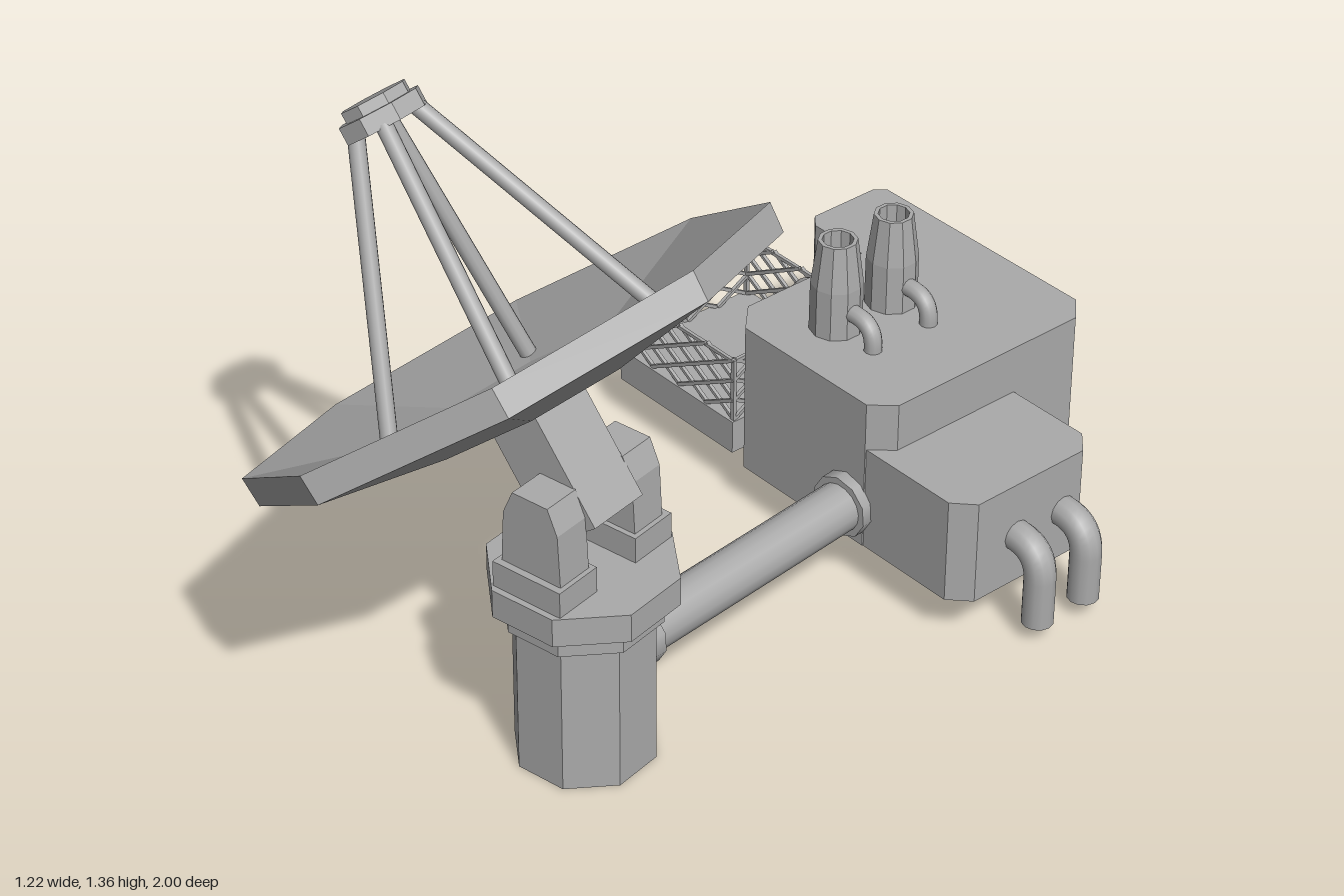
import * as THREE from 'three';
import { mergeGeometries } from 'three/addons/utils/BufferGeometryUtils.js';

const grey = new THREE.MeshStandardMaterial({ color: 0xaaaaaa });
grey.name = 'grey metal';

const V = (x, y, z) => new THREE.Vector3(x, y, z);

function add(parent, name, geometry, x = 0, y = 0, z = 0) {
  const mesh = new THREE.Mesh(geometry, grey);
  mesh.name = name;
  mesh.position.set(x, y, z);
  parent.add(mesh);
  return mesh;
}

// Faceted version of a geometry
function flat(geometry) {
  const g = geometry.index ? geometry.toNonIndexed() : geometry;
  g.computeVertexNormals();
  return g;
}

// Octagonal drum between two heights, with flats on the axes
function drum(r, y0, y1) {
  return flat(new THREE.CylinderGeometry(r, r, y1 - y0, 8).rotateY(Math.PI / 8).translate(0, (y0 + y1) / 2, 0));
}

function turned(points, sides) {
  return flat(new THREE.LatheGeometry(points.map(([x, y]) => new THREE.Vector2(x, y)), sides));
}

// Straight round rod from a to b
function rod(a, b, r, sides = 12) {
  const d = b.clone().sub(a);
  const g = new THREE.CylinderGeometry(r, r, d.length(), sides);
  g.applyQuaternion(new THREE.Quaternion().setFromUnitVectors(V(0, 1, 0), d.normalize()));
  const m = a.clone().add(b).multiplyScalar(0.5);
  return g.translate(m.x, m.y, m.z);
}

// Pipe from a to b with a rounded bend at the corner and a closed outlet
function bentPipe(a, corner, b, bend, r) {
  const toA = a.clone().sub(corner).normalize(), toB = b.clone().sub(corner).normalize();
  const s = corner.clone().addScaledVector(toA, bend), e = corner.clone().addScaledVector(toB, bend);
  const path = new THREE.CurvePath();
  path.add(new THREE.LineCurve3(a, s));
  path.add(new THREE.QuadraticBezierCurve3(s, corner, e));
  path.add(new THREE.LineCurve3(e, b));
  const cap = new THREE.CircleGeometry(r, 12);
  cap.applyQuaternion(new THREE.Quaternion().setFromUnitVectors(V(0, 0, 1), toB)).translate(b.x, b.y, b.z);
  return mergeGeometries([new THREE.TubeGeometry(path, 24, r, 12), cap]);
}

// Upright prism from a plan outline of [x, z] points
function prism(plan, y0, y1) {
  const shape = new THREE.Shape(plan.map(([x, z]) => new THREE.Vector2(x, -z)));
  const g = new THREE.ExtrudeGeometry(shape, { depth: y1 - y0, bevelEnabled: false });
  return g.rotateX(-Math.PI / 2).translate(0, y0, 0);
}

function buildTower() {
  const tower = new THREE.Group();
  tower.name = 'dishTower';
  tower.position.set(0.2375, 0, 0.4);
  tower.rotation.y = 0.19;

  add(tower, 'pedestal', drum(0.15, 0, 0.36));
  add(tower, 'collar', drum(0.167, 0.345, 0.395));
  add(tower, 'turntable', drum(0.2, 0.394, 0.459));

  // Yoke arms with chamfered tops
  const arm = new THREE.Shape([
    [-0.078, 0.45], [0.078, 0.45], [0.068, 0.635], [0.044, 0.69], [-0.044, 0.69], [-0.068, 0.635],
  ].map(([x, y]) => new THREE.Vector2(x, y)));
  for (const side of [-1, 1]) {
    const g = new THREE.ExtrudeGeometry(arm, { depth: 0.085, bevelEnabled: false }).translate(0, 0, -0.0425);
    add(tower, 'yokeArm', g, 0, 0, side * 0.113);
    add(tower, 'yokeFoot', new THREE.BoxGeometry(0.17, 0.065, 0.112), 0, 0.485, side * 0.115);
  }
  add(tower, 'hinge', new THREE.CylinderGeometry(0.04, 0.04, 0.22, 12).rotateX(Math.PI / 2), 0, 0.615, 0);

  // Tilted dish; its local y is the pointing axis
  const dish = new THREE.Group();
  dish.name = 'dish';
  dish.position.set(-0.197, 0.89, -0.008);
  dish.rotation.z = 0.643;
  tower.add(dish);
  add(dish, 'reflector', turned([
    [0, -0.15], [0.26, -0.128], [0.574, -0.064], [0.578, 0], [0.25, -0.088], [0, -0.11],
  ], 8));
  add(dish, 'dishMount', new THREE.BoxGeometry(0.14, 0.27, 0.145), 0, -0.255, 0.008);

  // Feed and its four struts
  for (const sx of [-1, 1]) for (const sz of [-1, 1]) {
    add(dish, 'feedStrut', rod(V(sx * 0.21, -0.085, sz * 0.21), V(sx * 0.045, 0.485, sz * 0.045), 0.018));
  }
  add(dish, 'feedBase', drum(0.09, 0.475, 0.512));
  add(dish, 'feedCap', drum(0.072, 0.512, 0.535));
  return tower;
}

function buildStation() {
  const station = new THREE.Group();
  station.name = 'station';

  // L-shaped hall and lower annex with chamfered corners
  add(station, 'hall', prism([
    [-0.415, -0.975], [-0.395, -1], [0.2, -1], [0.25, -0.95], [0.25, -0.435], [0.205, -0.385],
    [-0.175, -0.385], [-0.235, -0.445], [-0.235, -0.775], [-0.385, -0.775], [-0.415, -0.8],
  ], 0.105, 0.465));
  add(station, 'annex', prism([
    [0.1, -0.772], [0.455, -0.772], [0.5, -0.73], [0.5, -0.43], [0.455, -0.387], [0.1, -0.387],
  ], 0.105, 0.352));

  // Hollow chimneys, each with a small side pipe
  for (const z of [-0.695, -0.535]) {
    add(station, 'chimney', turned([
      [0.058, 0.45], [0.057, 0.58], [0.043, 0.685], [0.034, 0.685], [0.034, 0.6], [0, 0.6],
    ], 10), -0.055, 0, z);
    add(station, 'chimneyPipe', bentPipe(V(-0.03, 0.525, z), V(0.062, 0.525, z), V(0.062, 0.45, z), 0.05, 0.02));
  }
  // Outlet pipes on the annex
  for (const z of [-0.681, -0.547]) {
    add(station, 'outletPipe', bentPipe(V(0.48, 0.221, z), V(0.572, 0.221, z), V(0.572, 0.04, z), 0.07, 0.035));
  }
  // Ducts leading into the cage
  for (const z of [-0.7, -0.635]) {
    add(station, 'cageDuct', bentPipe(V(-0.2, 0.43, z), V(-0.25, 0.43, z), V(-0.31, 0.355, z), 0.03, 0.027));
  }
  return station;
}

// Lattice panel of crossing bars, centred on x, standing on y = 0
function lattice(width, height, columns, rows) {
  const bars = [], cw = width / columns, ch = height / rows, t = 0.008;
  const length = Math.hypot(cw, ch), angle = Math.atan2(ch, cw);
  for (let i = 0; i < columns; i++) for (let j = 0; j < rows; j++) for (const s of [-1, 1]) {
    bars.push(new THREE.BoxGeometry(length, t, t).rotateZ(s * angle)
      .translate((i + 0.5) * cw - width / 2, (j + 0.5) * ch, s * 0.002));
  }
  bars.push(new THREE.BoxGeometry(width, t, t).translate(0, height - t / 2, 0));
  for (const s of [-1, 1]) bars.push(new THREE.BoxGeometry(t, height, t).translate(s * width / 2, height / 2, 0));
  return mergeGeometries(bars);
}

function buildCage() {
  const cage = new THREE.Group();
  cage.name = 'cage';
  cage.position.set(-0.42, 0.105, -0.588);
  add(cage, 'tray', new THREE.BoxGeometry(0.38, 0.08, 0.375), 0, 0.04, 0);
  for (const s of [-1, 1]) {
    add(cage, 'cageWall', lattice(0.365, 0.155, 4, 3), 0, 0.08, s * 0.178);
    add(cage, 'cageWall', lattice(0.356, 0.155, 4, 3), s * 0.18, 0.08, 0).rotation.y = Math.PI / 2;
  }
  return cage;
}

export function createModel() {
  const model = new THREE.Group();
  model.name = 'dishStation';
  model.add(buildTower(), buildStation(), buildCage());

  // Connecting pipe with a flange at each end
  const a = V(0.215, 0.187, 0.265), b = V(0.157, 0.195, -0.39);
  add(model, 'connectingPipe', rod(a, b, 0.056, 16));
  add(model, 'towerFlange', rod(a, a.clone().lerp(b, 0.06), 0.07, 10));
  add(model, 'hallFlange', rod(b.clone().lerp(a, 0.05), b, 0.072, 10));
  return model;
}
